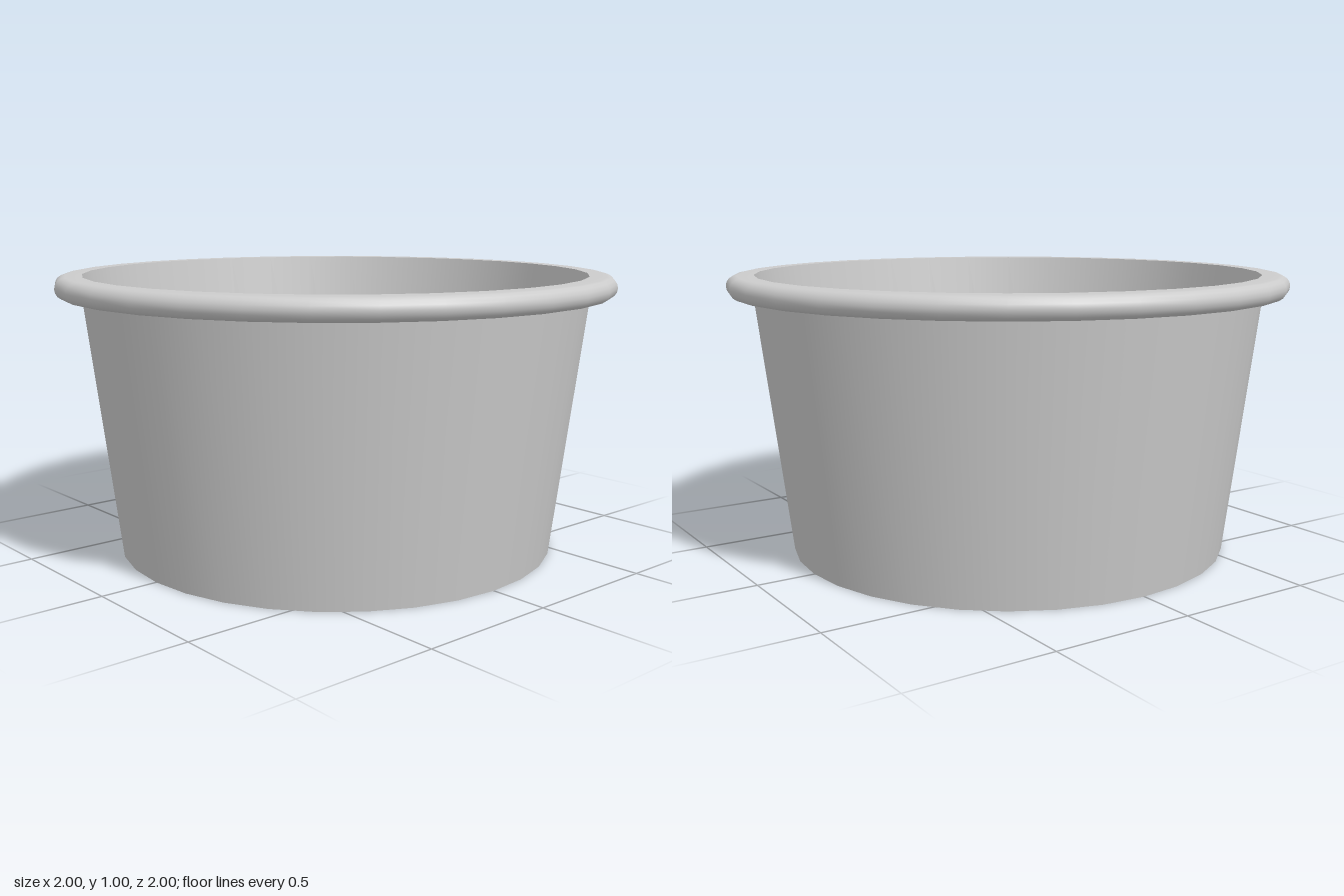
import * as THREE from 'three';

const SIDES = 32;
const FLOOR_Y = 0.03;
const BASE_R = 0.795, FLOOR_R = 0.765;       // outer and inner radius at the bottom
const NECK_R = 0.908, MOUTH_R = 0.904;       // wall under the rim, inner edge of the rim
const RIM_LOW = 0.925, RIM_R = 0.0375;       // underside and roundness of the rim

export function createModel() {
  const cup = new THREE.Group();
  cup.name = 'cup';
  const material = new THREE.MeshStandardMaterial({ color: 0xcccccc });

  // Each smooth band is its own lathe, so the edges between bands stay sharp
  const band = (name, points) => {
    const profile = points.map(([r, y]) => new THREE.Vector2(r, y));
    const mesh = new THREE.Mesh(new THREE.LatheGeometry(profile, SIDES), material);
    mesh.name = name;
    cup.add(mesh);
  };

  band('underside', [[0, 0], [BASE_R, 0]]);
  band('outerWall', [[BASE_R, 0], [NECK_R, RIM_LOW]]);

  // Rolled rim: flat below and on top, half round outside
  const rim = [[NECK_R, RIM_LOW]];
  for (let i = 0; i <= 8; i++) {
    const a = -Math.PI / 2 + (i / 8) * Math.PI;
    rim.push([1 - RIM_R + RIM_R * Math.cos(a), RIM_LOW + RIM_R + RIM_R * Math.sin(a)]);
  }
  rim.push([MOUTH_R, 1]);
  band('rim', rim);

  band('innerWall', [[MOUTH_R, 1], [FLOOR_R, FLOOR_Y]]);
  band('floor', [[FLOOR_R, FLOOR_Y], [0, FLOOR_Y]]);

  return cup;
}
